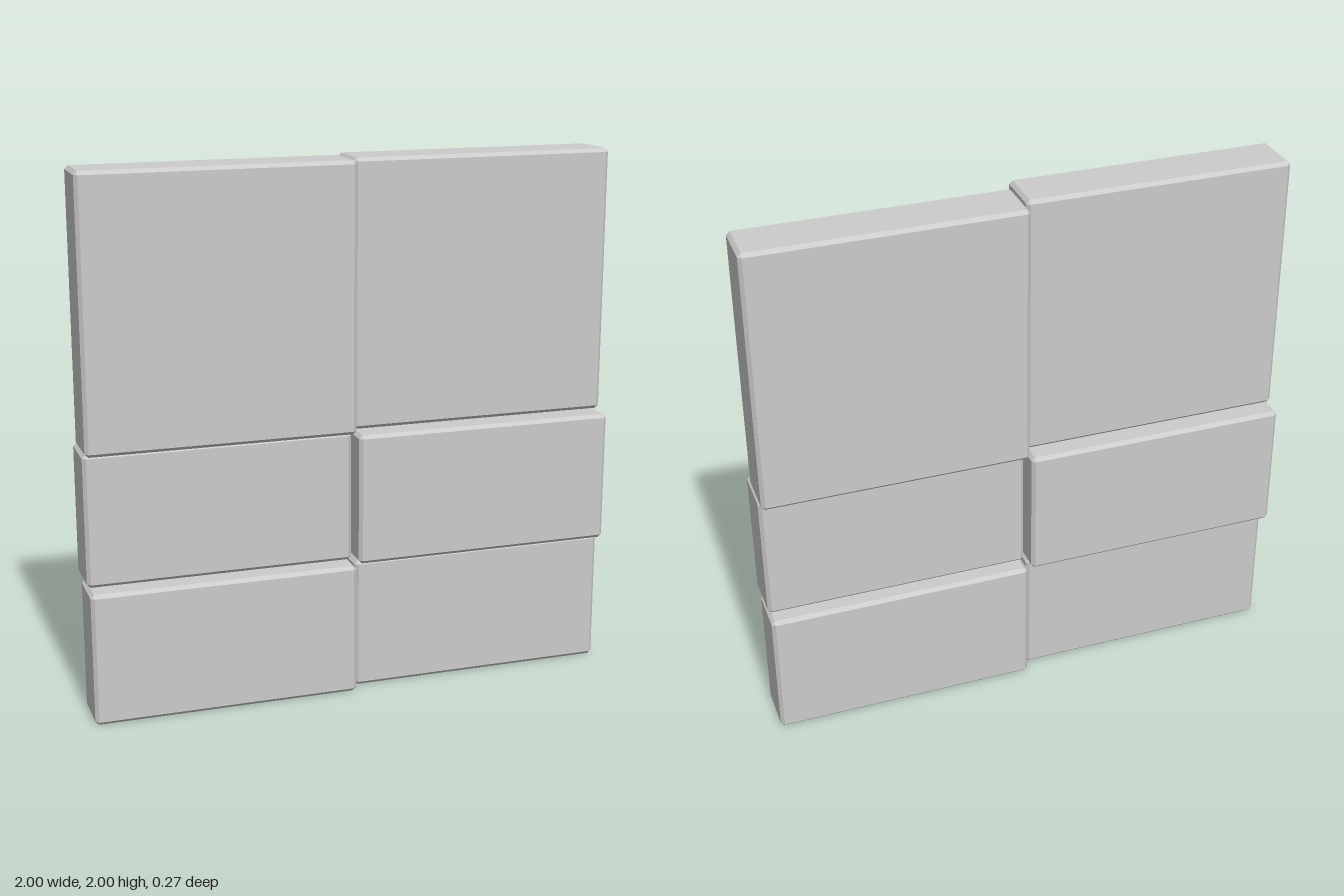
import * as THREE from 'three';
import { ConvexGeometry } from 'three/addons/geometries/ConvexGeometry.js';

// Box with every edge cut by a flat chamfer c
function chamferBox(w, h, d, c) {
  const points = [];
  for (const sx of [-1, 1]) for (const sy of [-1, 1]) for (const sz of [-1, 1]) {
    const x = w / 2, y = h / 2, z = d / 2;
    points.push(
      new THREE.Vector3(sx * x, sy * (y - c), sz * (z - c)),
      new THREE.Vector3(sx * (x - c), sy * y, sz * (z - c)),
      new THREE.Vector3(sx * (x - c), sy * (y - c), sz * z)
    );
  }
  return new ConvexGeometry(points);
}

export function createModel() {
  const model = new THREE.Group();
  model.name = 'steppedWallPanel';
  const material = new THREE.MeshStandardMaterial({ color: 0xcccccc, flatShading: true });
  const depth = 0.198, width = 0.995, chamfer = 0.013;

  // Rows of blocks: bottom, top, and front face z of the right (-x) and left (+x) block
  const rows = [
    { name: 'bottom', y0: 0, y1: 0.5, right: 0.133, left: 0.083 },
    { name: 'middle', y0: 0.505, y1: 1.0, right: 0.07, left: 0.133 },
    { name: 'top', y0: 1.007, y1: 2, right: 0.133, left: 0.065 },
  ];
  for (const row of rows) {
    const geometry = chamferBox(width, row.y1 - row.y0, depth, chamfer);
    for (const [side, sx] of [['right', -1], ['left', 1]]) {
      const block = new THREE.Mesh(geometry, material);
      block.name = `${row.name}${side === 'right' ? 'Right' : 'Left'}Block`;
      block.position.set(sx * (1 - width / 2), (row.y0 + row.y1) / 2, row[side] - depth / 2);
      model.add(block);
    }
  }
  return model;
}
